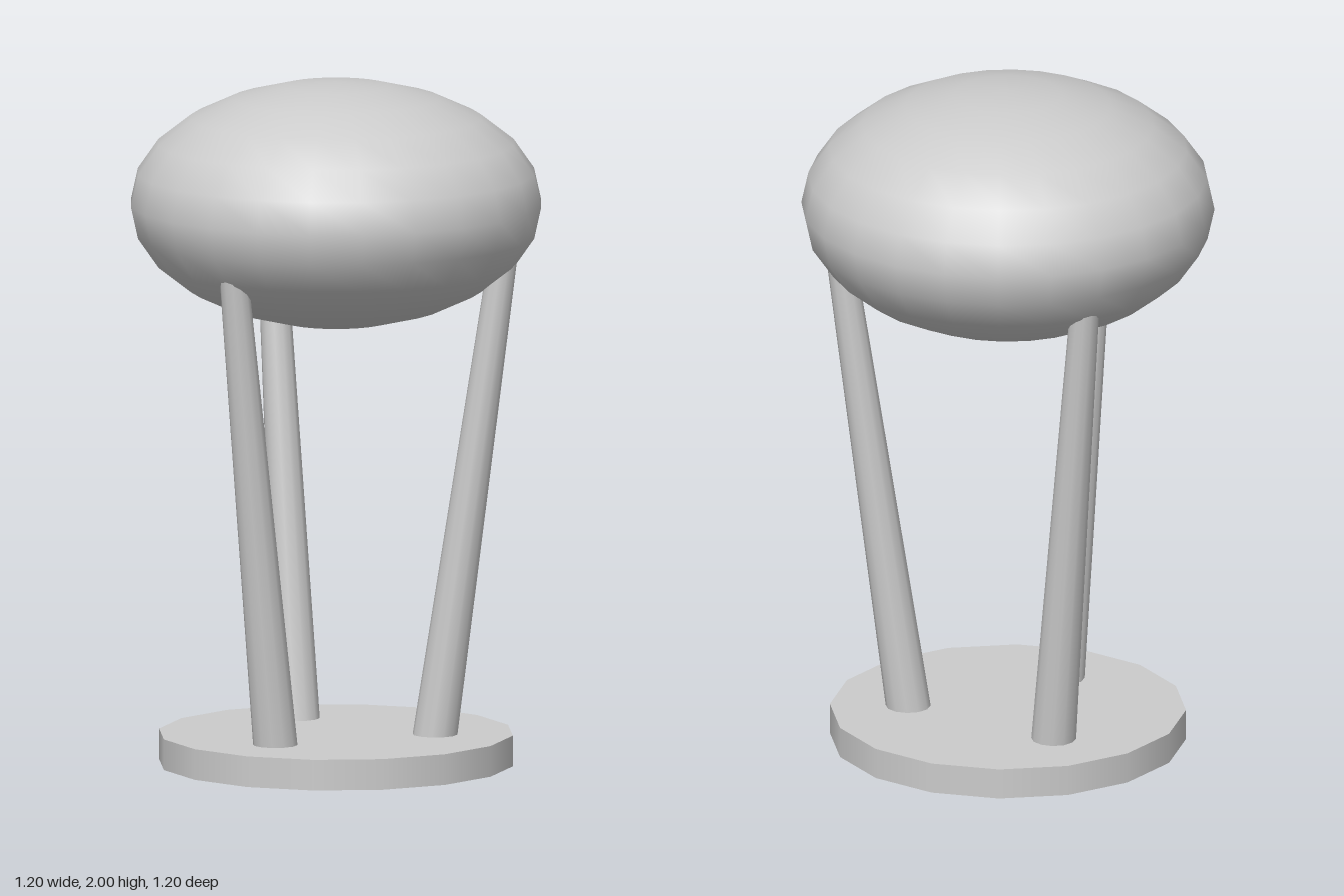
import * as THREE from 'three';

export function createModel() {
  const model = new THREE.Group();
  model.name = 'stool';
  const material = new THREE.MeshStandardMaterial({ color: 0xcccccc });

  const add = (name, geometry) => {
    const mesh = new THREE.Mesh(geometry, material);
    mesh.name = name;
    model.add(mesh);
    return mesh;
  };

  // Round base plate
  add('base', new THREE.CylinderGeometry(0.517, 0.517, 0.09, 16)).position.y = 0.045;

  // Puffy cushion: a flattened sphere
  const cushion = add('seatCushion', new THREE.SphereGeometry(1, 24, 12));
  cushion.scale.set(0.6, 0.357, 0.6);
  cushion.position.y = 1.643;

  // Three tapered legs, leaning outwards from the base into the cushion
  const up = new THREE.Vector3(0, 1, 0);
  for (let i = 0; i < 3; i++) {
    const angle = (i * Math.PI * 2) / 3;
    const at = (radius, y) =>
      new THREE.Vector3(Math.cos(angle) * radius, y, Math.sin(angle) * radius);
    const foot = at(0.279, 0.012);
    const head = at(0.489, 1.5);
    const axis = head.clone().sub(foot);
    const leg = add(`leg${i + 1}`, new THREE.CylinderGeometry(0.042, 0.066, axis.length(), 12));
    leg.position.copy(foot).lerp(head, 0.5);
    leg.quaternion.setFromUnitVectors(up, axis.normalize());
  }

  return model;
}
